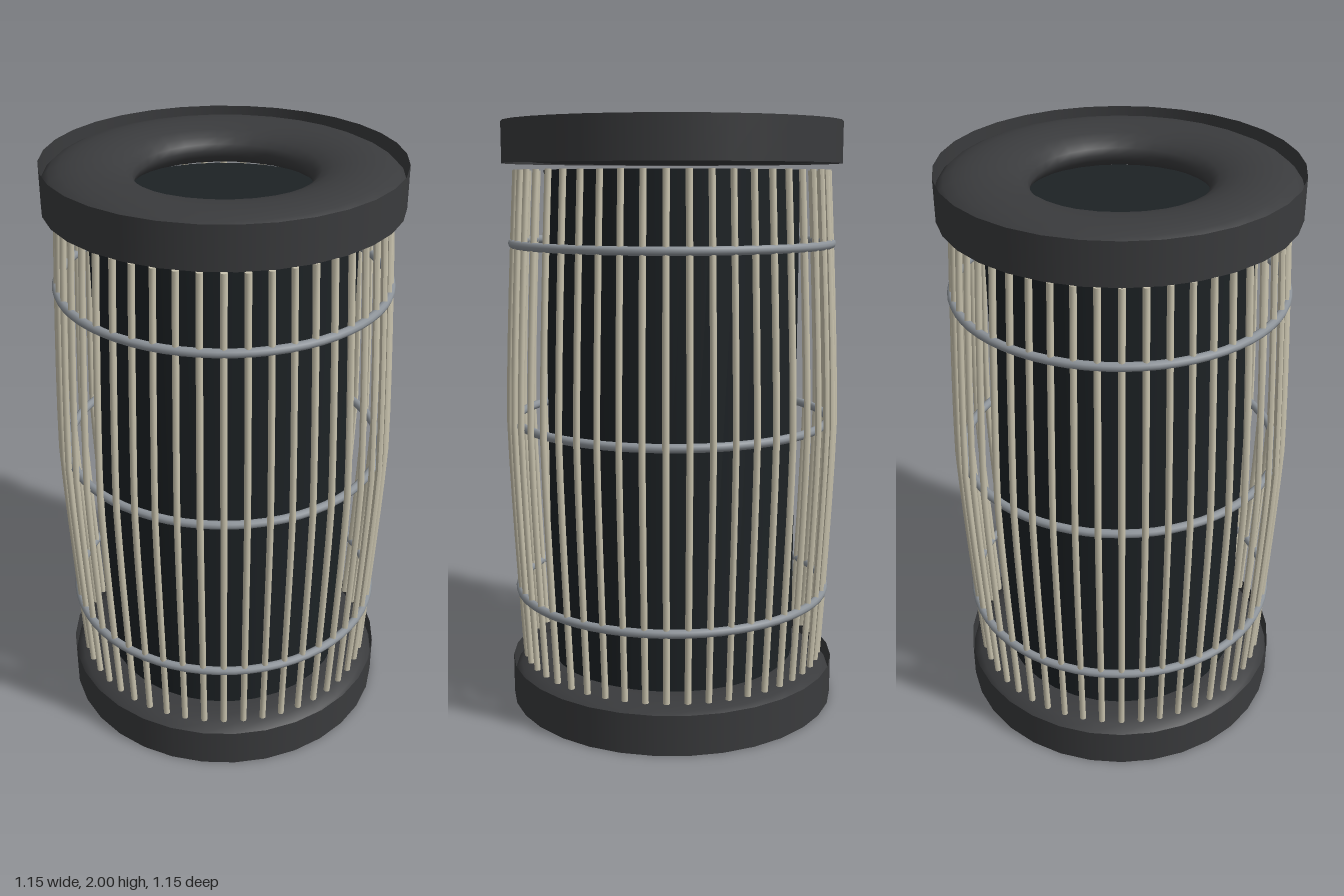
import * as THREE from 'three';

const paint = (color, side = THREE.FrontSide) => {
  const m = new THREE.MeshStandardMaterial({ side });
  m.color.set(color);
  return m;
};

function add(parent, name, geometry, material, y = 0) {
  const mesh = new THREE.Mesh(geometry, material);
  mesh.name = name;
  mesh.position.y = y;
  parent.add(mesh);
  return mesh;
}

// Upright slat, bowed outwards towards its middle
function slatGeometry() {
  const half = 0.842;
  const g = new THREE.CylinderGeometry(0.011, 0.011, half * 2, 8, 12);
  const p = g.attributes.position;
  for (let i = 0; i < p.count; i++) {
    const t = Math.abs(p.getY(i)) / half;
    p.setX(i, p.getX(i) + 0.562 - 0.039 * Math.pow(t, 1.3));
  }
  g.computeVertexNormals();
  return g;
}

export function createModel() {
  const model = new THREE.Group();
  const rubber = paint(0x3a3b3d, THREE.DoubleSide);
  const dark = paint(0x1d2225);
  const bone = paint(0xc9c3ae);
  const steel = paint(0x8d9399);

  // Inner drum
  add(model, 'core', new THREE.CylinderGeometry(0.43, 0.43, 1.684, 32), dark, 1);

  // Cage of bowed slats
  const cage = new THREE.Group();
  cage.name = 'cage';
  model.add(cage);
  const slat = slatGeometry();
  const count = 48;
  for (let i = 0; i < count; i++) {
    add(cage, 'slat', slat, bone, 1).rotation.y = (i / count) * Math.PI * 2;
  }

  // Hoops around the slats
  const hoop = new THREE.TorusGeometry(0.54, 0.0145, 10, 64).rotateX(Math.PI / 2);
  for (const y of [0.4, 1, 1.6]) add(model, 'hoop', hoop, steel, y);

  // End collars: a flattened padded ring inside an open band
  const pad = new THREE.TorusGeometry(0.423, 0.146, 20, 32).rotateX(Math.PI / 2);
  pad.scale(1, 0.068 / 0.146, 1);
  const band = new THREE.CylinderGeometry(0.57, 0.57, 0.137, 32, 1, true);
  for (const [name, y] of [['bottomCollar', 0.0685], ['topCollar', 1.9315]]) {
    const collar = new THREE.Group();
    collar.name = name;
    collar.position.y = y;
    add(collar, 'pad', pad, rubber);
    add(collar, 'band', band, rubber);
    model.add(collar);
  }
  return model;
}
